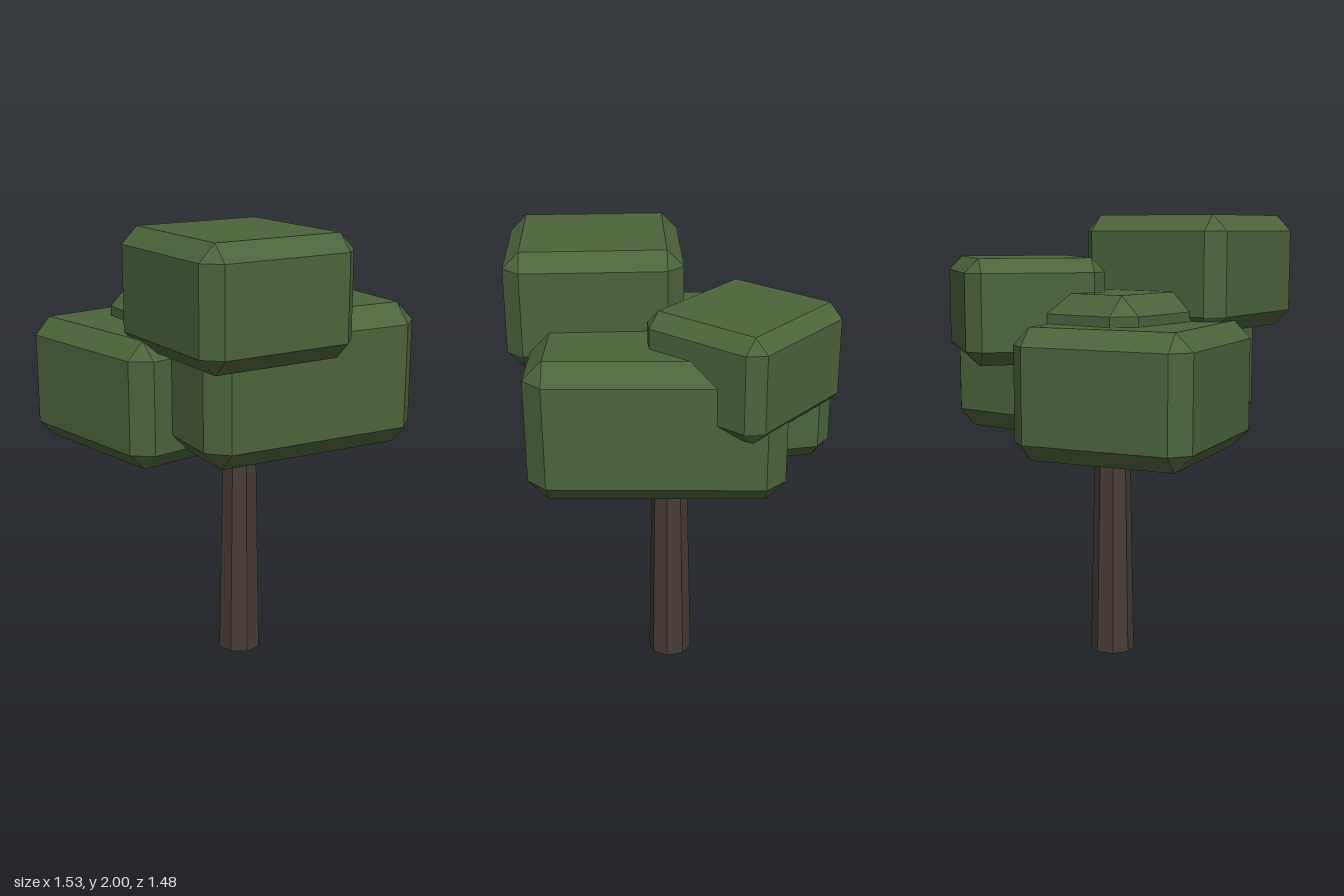
import * as THREE from 'three';
import { ConvexGeometry } from 'three/addons/geometries/ConvexGeometry.js';

// Box with every edge cut at 45 degrees and every corner cut to a triangle
function chamferedBox(width, height, depth, cut) {
  const x = width / 2, y = height / 2, z = depth / 2;
  const points = [];
  for (const sx of [-1, 1]) for (const sy of [-1, 1]) for (const sz of [-1, 1]) {
    points.push(
      new THREE.Vector3(sx * x, sy * (y - cut), sz * (z - cut)),
      new THREE.Vector3(sx * (x - cut), sy * y, sz * (z - cut)),
      new THREE.Vector3(sx * (x - cut), sy * (y - cut), sz * z)
    );
  }
  return new ConvexGeometry(points);
}

export function createModel() {
  const tree = new THREE.Group();
  tree.name = 'tree';

  const leafGreen = new THREE.MeshStandardMaterial({ color: 0x4c643c });
  leafGreen.name = 'leaf green';
  leafGreen.flatShading = true;
  const barkBrown = new THREE.MeshStandardMaterial({ color: 0x463c36 });
  barkBrown.name = 'bark brown';
  barkBrown.flatShading = true;

  // Tapered eight-sided trunk, its top buried in the foliage
  const trunkHeight = 1.09;
  const trunk = new THREE.Mesh(
    new THREE.CylinderGeometry(0.078, 0.1, trunkHeight, 8, 1, false, Math.PI / 12),
    barkBrown
  );
  trunk.name = 'trunk';
  trunk.position.set(0.046, trunkHeight / 2, -0.008);
  tree.add(trunk);

  // Foliage blocks: centre x/z, bottom and top, width, depth, edge cut, turn in degrees
  const blocks = [
    { name: 'foliageMiddle', x: 0.112, z: -0.048, bottom: 1.065, top: 1.675, w: 1.06, d: 1.0, cut: 0.083, turn: -23.5 },
    { name: 'foliageLowerRight', x: -0.3, z: 0.175, bottom: 1.0, top: 1.55, w: 0.834, d: 0.786, cut: 0.075, turn: -10.9 },
    { name: 'foliageTop', x: 0.265, z: 0.302, bottom: 1.5, top: 2.0, w: 0.747, d: 0.712, cut: 0.07, turn: -20 },
    { name: 'foliageBack', x: -0.143, z: -0.358, bottom: 1.375, top: 1.82, w: 0.64, d: 0.597, cut: 0.06, turn: 28 },
  ];
  for (const b of blocks) {
    const mesh = new THREE.Mesh(chamferedBox(b.w, b.top - b.bottom, b.d, b.cut), leafGreen);
    mesh.name = b.name;
    mesh.position.set(b.x, (b.bottom + b.top) / 2, b.z);
    mesh.rotation.y = THREE.MathUtils.degToRad(b.turn);
    tree.add(mesh);
  }

  return tree;
}
